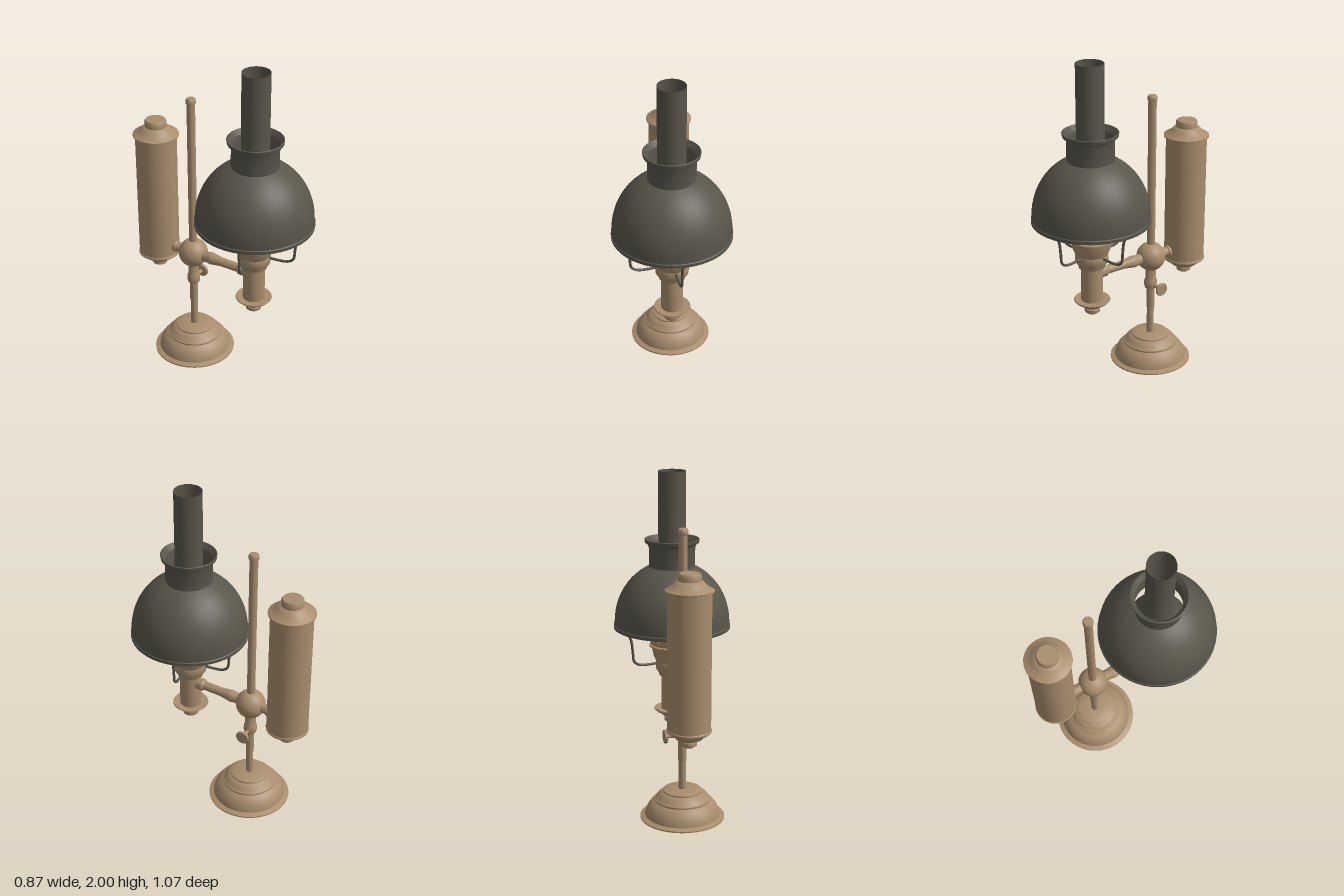
import * as THREE from 'three';
import { toCreasedNormals } from 'three/addons/utils/BufferGeometryUtils.js';

export function createModel() {
  const model = new THREE.Group();
  model.name = 'oilLamp';

  const mat = (name, color, side = THREE.FrontSide) => {
    const m = new THREE.MeshStandardMaterial({ color, side });
    m.name = name;
    return m;
  };
  const brass = mat('brass', 0xa88d6d);
  const dark = mat('darkMetal', 0x58554a, THREE.DoubleSide);
  const red = mat('redGlass', 0xa85d40, THREE.DoubleSide);

  const add = (parent, name, geometry, material) => {
    const mesh = new THREE.Mesh(geometry, material);
    mesh.name = name;
    parent.add(mesh);
    return mesh;
  };
  // turned part from [radius, height] pairs, bottom to top
  const turn = (parent, name, pts, material, seg = 40) =>
    add(parent, name, toCreasedNormals(
      new THREE.LatheGeometry(pts.map(p => new THREE.Vector2(...p)), seg), 0.6), material);
  const groupAt = (name, x, z) => {
    const g = new THREE.Group();
    g.name = name;
    g.position.set(x, 0, z);
    model.add(g);
    return g;
  };
  // turned part laid along the line from a to b; heights are distances from a
  const turnBetween = (name, a, b, profile, seg = 20) => {
    const dir = b.clone().sub(a);
    const len = dir.length();
    const mesh = turn(model, name, profile.map(([r, t]) => [r, t * len]), brass, seg);
    mesh.position.copy(a);
    mesh.quaternion.setFromUnitVectors(new THREE.Vector3(0, 1, 0), dir.normalize());
  };

  // stand: stepped base, post, collar and ball joint
  const stand = groupAt('stand', -0.16, -0.185);
  turn(stand, 'base', [
    [0, 0], [0.25, 0], [0.25, 0.008], [0.222, 0.018], [0.218, 0.04], [0.205, 0.07], [0.185, 0.095],
    [0.165, 0.108], [0.165, 0.118], [0.157, 0.122], [0.145, 0.142], [0.125, 0.158], [0.115, 0.162],
    [0.115, 0.17], [0.105, 0.176], [0.03, 0.178], [0, 0.178]], brass, 48);
  turn(stand, 'post', [
    [0.022, 0.17], [0.022, 0.35], [0.025, 0.352], [0.025, 1.7], [0.03, 1.705], [0.03, 1.725],
    [0.024, 1.735], [0, 1.736]], brass, 20);
  turn(stand, 'collar', [
    [0.025, 0.485], [0.036, 0.49], [0.04, 0.505], [0.04, 0.535], [0.033, 0.55], [0.033, 0.62]], brass, 24);
  add(stand, 'ballJoint', new THREE.SphereGeometry(0.09, 32, 20), brass).position.y = 0.7;

  // thumbscrew clamping the collar
  const V = (x, y, z) => new THREE.Vector3(x, y, z);
  turnBetween('thumbscrew', V(-0.16, 0.51, -0.185), V(-0.07, 0.51, -0.255), [
    [0.012, 0.2], [0.012, 0.8], [0.038, 0.82], [0.042, 0.87], [0.042, 0.93], [0.038, 0.98], [0, 0.98]], 24);

  // arms to the burner and the tank
  turnBetween('burnerArm', V(-0.16, 0.7, -0.185), V(0.08, 0.7, 0.18), [
    [0.034, 0.15], [0.034, 0.27], [0.037, 0.29], [0.037, 0.33], [0.034, 0.36], [0.027, 0.48],
    [0.027, 0.75], [0.037, 0.78], [0.037, 0.95]]);
  turnBetween('tankArm', V(-0.16, 0.7, -0.185), V(-0.3, 0.7, -0.4), [
    [0.03, 0.2], [0.03, 0.45], [0.036, 0.47], [0.036, 0.62]]);

  // oil tank
  const tank = groupAt('tank', -0.3, -0.4);
  turn(tank, 'tankBody', [
    [0, 0.53], [0.025, 0.532], [0.044, 0.545], [0.046, 0.565], [0.038, 0.58], [0.075, 0.585],
    [0.088, 0.6], [0.09, 0.61], [0.112, 0.615], [0.128, 0.628], [0.128, 0.638], [0.124, 0.642],
    [0.124, 1.43], [0.137, 1.435], [0.137, 1.443], [0.115, 1.455], [0.092, 1.472], [0.077, 1.49],
    [0.065, 1.495], [0.065, 1.525], [0.058, 1.536], [0, 1.537]], brass);

  // burner with its drip saucer
  const lamp = groupAt('lamp', 0.08, 0.18);
  turn(lamp, 'burner', [
    [0, 0.44], [0.03, 0.443], [0.046, 0.455], [0.048, 0.475], [0.04, 0.488], [0.058, 0.492],
    [0.068, 0.505], [0.095, 0.518], [0.11, 0.533], [0.108, 0.538], [0.066, 0.535], [0.066, 0.745],
    [0.078, 0.75], [0.08, 0.765], [0.098, 0.79], [0.1, 0.83], [0.097, 0.84], [0.113, 0.875],
    [0.124, 0.93], [0.138, 0.935], [0.138, 0.943], [0.128, 0.948], [0.131, 0.98], [0.12, 0.98]], brass);

  // ring of pointed prongs holding the glass
  const prongShape = new THREE.Shape();
  [[-0.018, 0], [0.018, 0], [0.021, 0.04], [0.02, 0.07], [0, 0.1], [-0.02, 0.07], [-0.021, 0.04]]
    .forEach(([x, y], i) => i ? prongShape.lineTo(x, y) : prongShape.moveTo(x, y));
  const prongGeo = new THREE.ExtrudeGeometry(prongShape, { depth: 0.006, bevelEnabled: false });
  const count = 18;
  for (let i = 0; i < count; i++) {
    const a = (i / count) * Math.PI * 2;
    const prong = add(lamp, 'prong', prongGeo, brass);
    prong.position.set(Math.sin(a) * 0.126, 0.97, Math.cos(a) * 0.126);
    prong.rotation.set(0.1, a, 0, 'YXZ');
  }

  // red glass bowl, wick plate and spreader
  turn(lamp, 'glassBowl', [
    [0.118, 0.95], [0.122, 1.0], [0.13, 1.05], [0.15, 1.1], [0.172, 1.15], [0.18, 1.2]], red);
  turn(lamp, 'wickPlate', [[0.121, 0.985], [0, 0.987]], red, 32);
  turn(lamp, 'flameSpreader', [[0.035, 0.985], [0.035, 1.0], [0, 1.002]], dark, 16);

  // chimney
  turn(lamp, 'chimney', [
    [0.18, 1.2], [0.172, 1.24], [0.14, 1.3], [0.105, 1.36], [0.086, 1.42], [0.082, 1.48], [0.082, 2]], dark, 32);

  // domed shade with collar and flared rim
  const shade = [[0.346, 1.05], [0.353, 1.053], [0.353, 1.072], [0.348, 1.076]];
  for (let i = 0; i <= 12; i++) {
    const t = i / 12;
    const a = t * 1.16;
    shade.push([0.348 * Math.cos(a), 1.09 + 0.37 * Math.sin(a)]);
  }
  shade.push([0.139, 1.44], [0.139, 1.545], [0.146, 1.565], [0.162, 1.575], [0.165, 1.595],
    [0.16, 1.598], [0.136, 1.57]);
  turn(lamp, 'shade', shade, dark, 48);

  // four wire brackets carrying the shade
  const wire = new THREE.CatmullRomCurve3([
    [0.09, 0.832], [0.15, 0.828], [0.21, 0.832], [0.243, 0.855], [0.252, 0.92], [0.262, 0.99],
    [0.29, 1.04], [0.335, 1.065]].map(([r, y]) => V(r, y, 0)));
  const wireGeo = new THREE.TubeGeometry(wire, 32, 0.008, 8);
  for (let i = 0; i < 4; i++) {
    add(lamp, 'shadeBracket', wireGeo, dark).rotation.y = Math.PI / 4 + i * Math.PI / 2;
  }

  return model;
}
